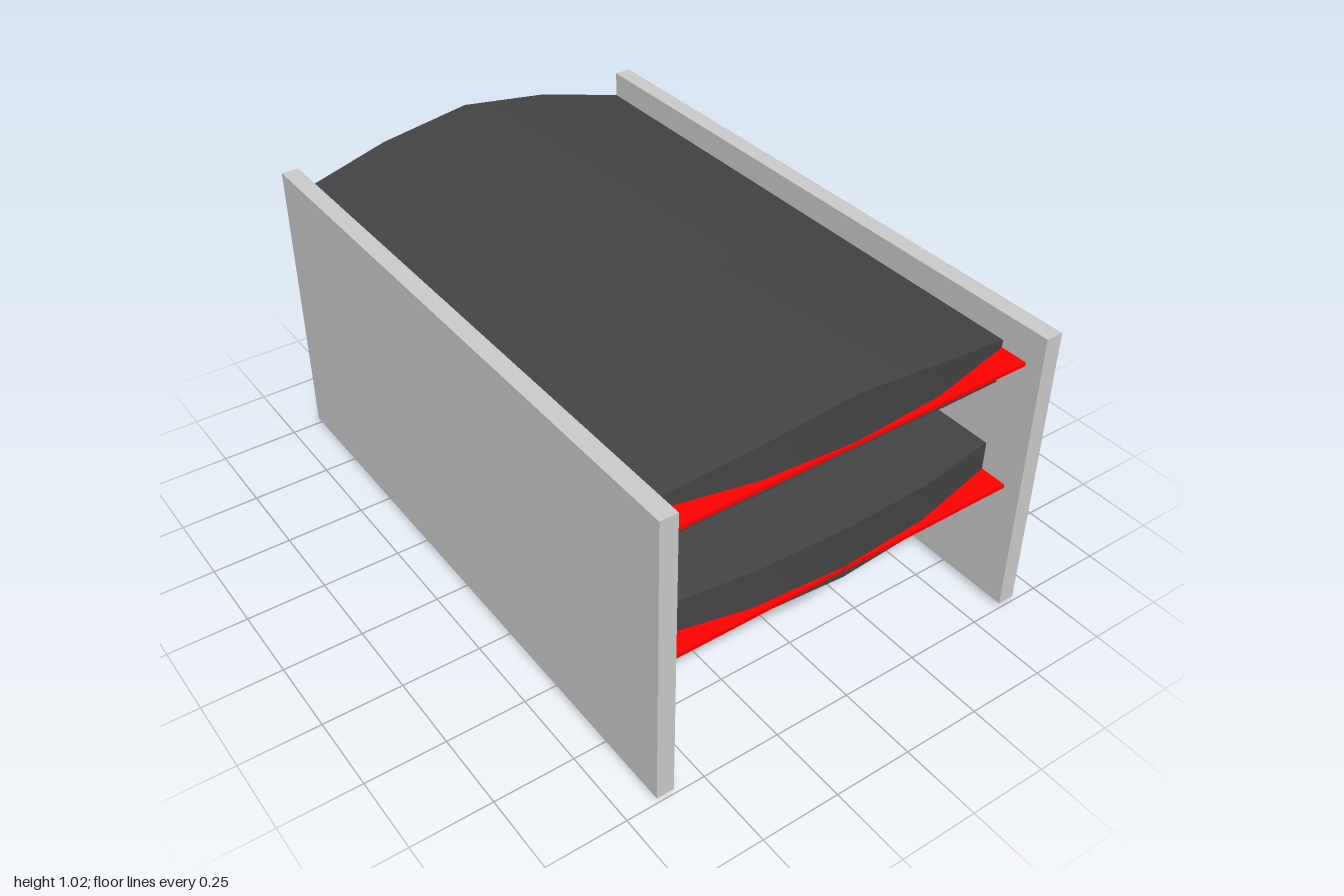
import * as THREE from 'three';
import { toCreasedNormals } from 'three/addons/utils/BufferGeometryUtils.js';

const DARK = 0x444444, WALL = 0x666666, RED = 0xff0000, GREY = 0xcccccc;
const Z = [-0.6, -0.3, 0, 0.3, 0.6];      // stations across the width
const FRONT = [0.855, 0.92, 0.94, 0.92, 0.855]; // bowed front edge
const ROOF = [0.89, 0.975, 1.02, 0.975, 0.89];  // arched top

function add(parent, name, geometry, color, side = THREE.FrontSide) {
  const mesh = new THREE.Mesh(geometry, new THREE.MeshStandardMaterial({ color, side }));
  mesh.name = name;
  parent.add(mesh);
  return mesh;
}

// Box given by its minimum and maximum corners
function box(parent, name, [x0, y0, z0], [x1, y1, z1], color) {
  const mesh = add(parent, name, new THREE.BoxGeometry(x1 - x0, y1 - y0, z1 - z0), color);
  mesh.position.set((x0 + x1) / 2, (y0 + y1) / 2, (z0 + z1) / 2);
  return mesh;
}

// Skin x-y cross-sections, one per z station; closed sections get end caps
function loft(section, closed) {
  const points = Z.flatMap((z, i) => section(i).map(([x, y]) => [x, y, z]));
  const n = section(0).length, last = (Z.length - 1) * n, index = [];
  const quad = (a, b, c, d) => index.push(a, b, c, a, c, d);
  for (let i = 0; i < Z.length - 1; i++) {
    for (let k = 0; k < (closed ? n : n - 1); k++) {
      const m = (k + 1) % n;
      quad(i * n + k, i * n + m, (i + 1) * n + m, (i + 1) * n + k);
    }
  }
  if (closed) {
    quad(3, 2, 1, 0);
    quad(last, last + 1, last + 2, last + 3);
  }
  const g = new THREE.BufferGeometry();
  g.setAttribute('position', new THREE.Float32BufferAttribute(points.flat(), 3));
  g.setIndex(index);
  g.computeVertexNormals();
  return toCreasedNormals(g, 0.5);
}

// Solid bow-fronted shelf with a red trim plate along its front
function shelf(parent, name, bottom, top, trimY) {
  const group = new THREE.Group();
  group.name = name;
  add(group, 'shelfBody', loft(i => [
    [0.24, bottom[i]], [FRONT[i], bottom[i]], [FRONT[i], top[i]], [0.24, top[i]],
  ], true), DARK);
  box(group, 'redTrim', [0.8, trimY - 0.006, -0.6], [0.943, trimY + 0.006, 0.6], RED);
  parent.add(group);
}

export function createModel() {
  const model = new THREE.Group();
  model.name = 'panelledCanopy';

  // Side panels
  for (const s of [-1, 1]) {
    const panel = box(model, s > 0 ? 'frontPanel' : 'backPanel',
      [-1, 0.02, 0.6], [1, 0.972, 0.655], GREY);
    panel.position.z *= s;
  }

  // Cross wall, slightly longer and lower than the panels
  box(model, 'crossWall', [0.13, 0, -0.635], [0.24, 0.85, 0.635], WALL);

  // Thin arched roof behind the upper shelf
  add(model, 'roof', loft(i => [[0.24, ROOF[i]], [-1, ROOF[i]]], false), DARK, THREE.DoubleSide);

  // Shelves
  shelf(model, 'upperShelf', [0.75, 0.82, 0.845, 0.82, 0.75], ROOF, 0.86);
  shelf(model, 'lowerShelf', Array(5).fill(0.405), [0.535, 0.567, 0.578, 0.567, 0.535], 0.435);

  return model;
}
